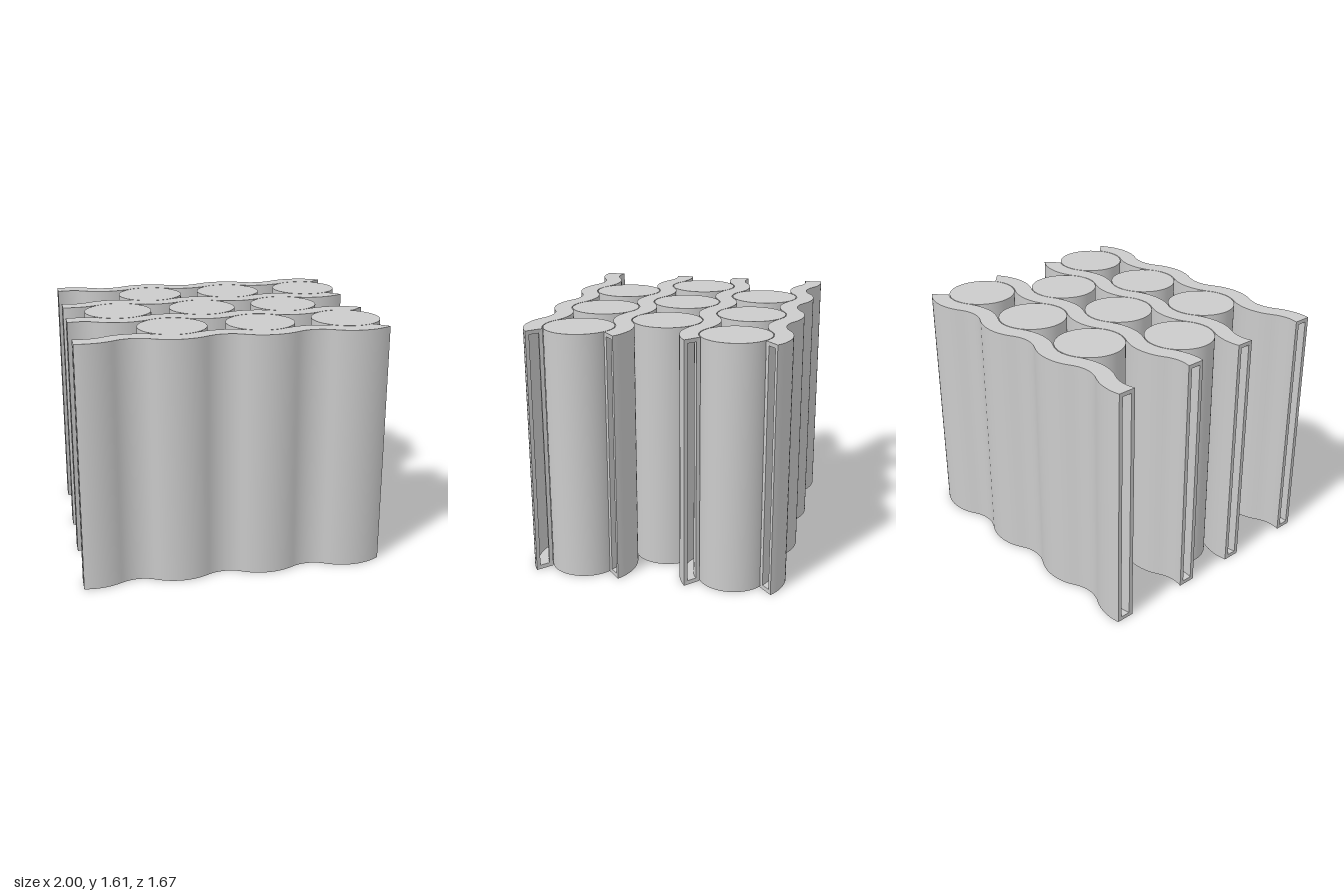
import * as THREE from 'three';
import { mergeGeometries } from 'three/addons/utils/BufferGeometryUtils.js';

const HEIGHT = 1.605;
const PITCH = 0.569;      // spacing of the cells in a row
const ROW = 0.4935;       // spacing of the rows
const X0 = -0.929;        // centre of the first arc of a duct
const CELL_R = 0.222;
const HALF = 0.058;       // half thickness of a duct
const WALL = 0.026;
const MID_R = Math.hypot(PITCH / 2, ROW) / 2;   // radius of the duct's middle line
const TURN = Math.atan2(PITCH / 2, ROW);        // angle at which one arc meets the next
const ARCS = 7, STEPS = 14;

// Wavy line of tangent arcs at offset d from the duct's middle line
function wave(d, y, rowZ, side) {
  const points = [];
  for (let k = 0; k < ARCS; k++) {
    const even = k % 2 === 0;
    const r = even ? MID_R + d : MID_R - d;
    let from = -TURN, to = TURN;
    if (k === 0) from = Math.asin((-1 - X0) / r);                       // straight cut
    if (k === ARCS - 1) to = THREE.MathUtils.degToRad(33.5 + 3 * d / HALF); // slanted cut
    for (let i = k === 0 ? 0 : 1; i <= STEPS; i++) {
      const a = from + (to - from) * i / STEPS;
      const z = even ? r * Math.cos(a) : ROW - r * Math.cos(a);
      points.push(new THREE.Vector3(X0 + k * PITCH / 2 + r * Math.sin(a), y, rowZ + side * z));
    }
  }
  return points;
}

// Smooth strip between two lines with the same number of points
function strip(a, b) {
  const geometry = new THREE.BufferGeometry().setFromPoints([...a, ...b]);
  const n = a.length, index = [];
  for (let i = 0; i < n - 1; i++) index.push(i, i + 1, n + i, i + 1, n + i + 1, n + i);
  geometry.setIndex(index);
  geometry.computeVertexNormals();
  return geometry;
}

// Hollow wavy duct, open at both ends
function ductGeometry(rowZ, side) {
  const loop = (inset) => {
    const d = HALF - inset, top = HEIGHT - inset;
    return [[d, top], [-d, top], [-d, inset], [d, inset]].map(([o, y]) => wave(o, y, rowZ, side));
  };
  const outer = loop(0), inner = loop(WALL);
  const parts = [];
  const add = (a, b) => parts.push(side > 0 ? strip(a, b) : strip(b, a));
  for (let j = 0; j < 4; j++) {
    const k = (j + 1) % 4;
    add(outer[j], outer[k]);
    add(inner[k], inner[j]);
    // rims of the two open ends
    const edge = (lines, at) => [lines[j].at(at), lines[k].at(at)];
    add(edge(outer, 0), edge(inner, 0));
    add(edge(inner, -1), edge(outer, -1));
  }
  return mergeGeometries(parts);
}

export function createModel() {
  const model = new THREE.Group();
  model.name = 'cellPack';
  const material = new THREE.MeshStandardMaterial({ color: 0xcccccc });

  // Three staggered rows of upright cells
  const cellGeometry = new THREE.CylinderGeometry(CELL_R, CELL_R, HEIGHT, 64);
  const cells = new THREE.Group();
  cells.name = 'cells';
  for (const row of [-1, 0, 1]) {
    for (let i = 0; i < 3; i++) {
      const cell = new THREE.Mesh(cellGeometry, material);
      cell.name = 'cell';
      cell.position.set(X0 + PITCH * (row === 0 ? i + 0.5 : i + 1), HEIGHT / 2, row * ROW);
      cells.add(cell);
    }
  }
  model.add(cells);

  // Wavy ducts on both sides of the outer rows
  for (const row of [-1, 1]) {
    for (const side of [-1, 1]) {
      const duct = new THREE.Mesh(ductGeometry(row * ROW, side), material);
      duct.name = row === side ? 'outerDuct' : 'innerDuct';
      model.add(duct);
    }
  }
  return model;
}
